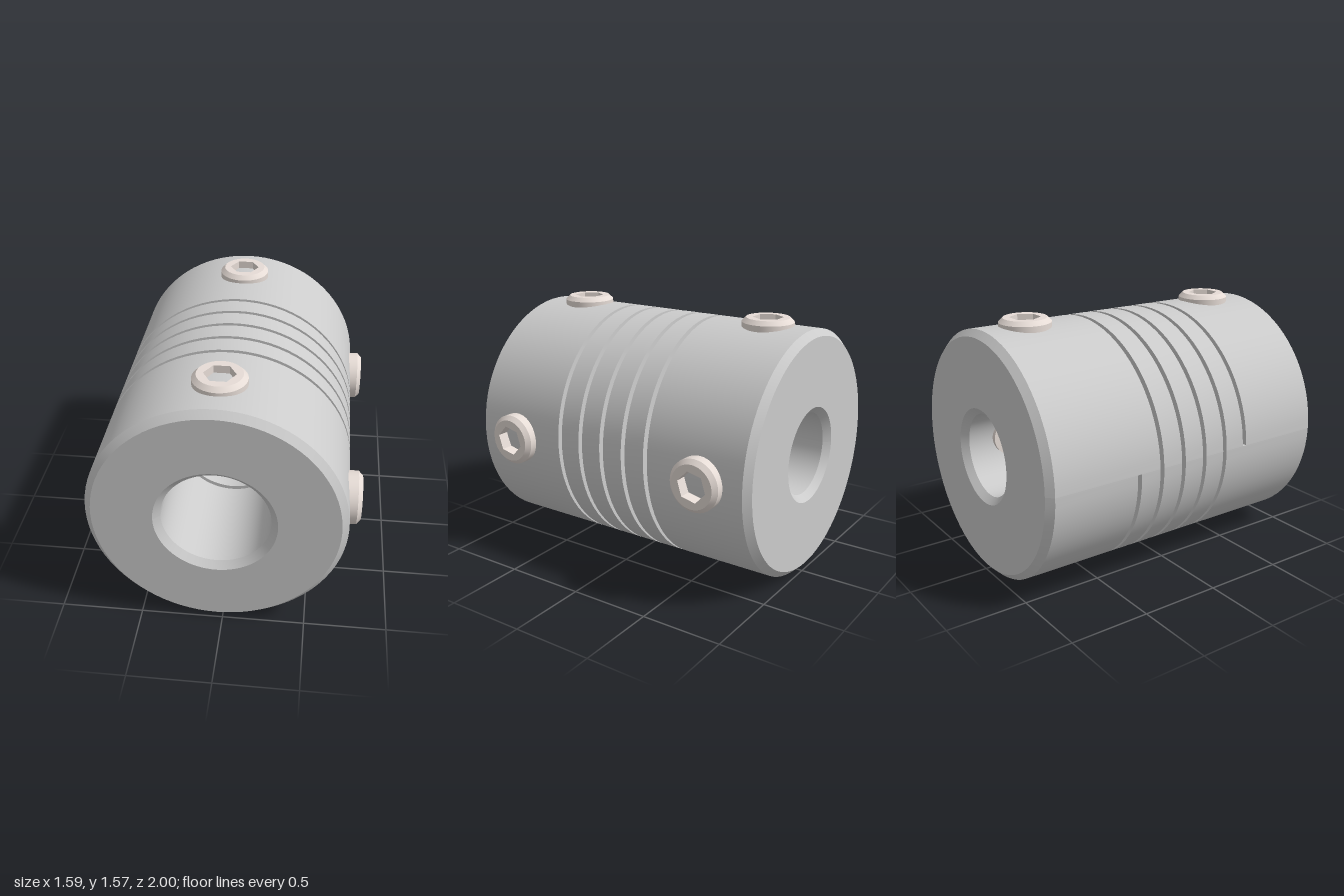
import * as THREE from 'three';
import { toCreasedNormals } from 'three/addons/utils/BufferGeometryUtils.js';

const R = 0.76, BEVEL = 0.04;              // outer radius, edge chamfer
const BORE_FRONT = 0.32, BORE_BACK = 0.255;
const TURNS = 5, PITCH = 0.16, SLOT = 0.028;
const SLOT_Z = TURNS * PITCH / 2;          // slot runs from +SLOT_Z to -SLOT_Z
const SEG = 80;

const metal = new THREE.MeshStandardMaterial({ color: 0xcccccc });
const steel = new THREE.MeshStandardMaterial({ color: 0xe6dcd6 });
const steelFlat = new THREE.MeshStandardMaterial({ color: 0xe6dcd6, flatShading: true, side: THREE.BackSide });

function mesh(name, geometry, material) {
  const m = new THREE.Mesh(geometry, material);
  m.name = name;
  return m;
}

const bore = z => (z >= 0 ? BORE_FRONT : BORE_BACK);

// Closed (radius, z) section of coil number j after a fraction t of a turn
function coilSection(j, t) {
  const slotZ = k => SLOT_Z - PITCH * (k + t);
  const first = j === 0, last = j === TURNS;
  const zA = first ? 1 - BEVEL : slotZ(j - 1) - SLOT / 2;
  const zB = last ? -1 + BEVEL : slotZ(j) + SLOT / 2;
  const step = Math.min(Math.max(0, zB), zA);   // bore changes size at z = 0
  return [
    ...(first ? [[BORE_FRONT + BEVEL, 1], [R - BEVEL, 1]] : []),
    [R, zA], [R, zB],
    ...(last ? [[R - BEVEL, -1], [BORE_BACK + BEVEL, -1]] : []),
    [bore(zB), zB], [bore(zB), step], [bore(zA), step], [bore(zA), zA],
  ];
}

// Sweep a section once round the axis; each side is its own strip, so edges stay sharp
function coilGeometry(j) {
  const position = [], index = [];
  const sides = coilSection(j, 0).length;
  for (let s = 0; s < sides; s++) {
    const base = position.length / 3;
    for (let i = 0; i <= SEG; i++) {
      const t = i / SEG, a = t * Math.PI * 2;
      const section = coilSection(j, t);
      for (const [r, z] of [section[s], section[(s + 1) % sides]]) {
        position.push(-r * Math.cos(a), r * Math.sin(a), z);
      }
      if (i < SEG) {
        const n = base + i * 2;
        index.push(n, n + 2, n + 1, n + 1, n + 2, n + 3);
      }
    }
  }
  const g = new THREE.BufferGeometry();
  g.setAttribute('position', new THREE.Float32BufferAttribute(position, 3));
  g.setIndex(index);
  g.computeVertexNormals();
  return g;
}

// Wall closing one end of the helical slot
function slotEnd(z, inner, facing) {
  const g = new THREE.PlaneGeometry(R - inner, SLOT);
  g.rotateX(-facing * Math.PI / 2);
  g.translate(-(R + inner) / 2, 0, z);
  return mesh('slotEnd', g, metal);
}

// Clamping screw pointing along +y from the axis, with a hexagon socket
function makeScrew(name, boreRadius, top) {
  const screw = new THREE.Group();
  screw.name = name;
  const shank = 0.12, head = 0.158, rim = 0.132, hex = 0.093, depth = 0.09;
  const tip = Math.sqrt(boreRadius ** 2 - shank ** 2);
  const profile = [[0, tip], [shank, tip], [shank, 0.69], [head, 0.69], [head, top - 0.026], [rim, top]]
    .map(p => new THREE.Vector2(...p));
  screw.add(mesh('screwBody', toCreasedNormals(new THREE.LatheGeometry(profile, 40), 0.6), steel));

  const face = new THREE.Shape().absarc(0, 0, rim, 0, Math.PI * 2);
  const corners = [];
  for (let i = 0; i < 6; i++) {
    const a = i * Math.PI / 3;
    corners.push(new THREE.Vector2(hex * Math.cos(a), hex * Math.sin(a)));
  }
  face.holes.push(new THREE.Path(corners));
  const faceMesh = mesh('screwFace', new THREE.ShapeGeometry(face, 20), steel);
  faceMesh.rotation.x = -Math.PI / 2;
  faceMesh.position.y = top;

  const wall = mesh('socketWall', new THREE.CylinderGeometry(hex, hex, depth, 6, 1, true), steelFlat);
  wall.rotation.y = Math.PI / 6;
  wall.position.y = top - depth / 2;
  const floor = mesh('socketFloor', new THREE.CircleGeometry(hex, 6), steel);
  floor.rotation.x = -Math.PI / 2;
  floor.position.y = top - depth;
  screw.add(faceMesh, wall, floor);
  return screw;
}

export function createModel() {
  const model = new THREE.Group();
  model.name = 'shaftCoupling';

  // Body: two hubs joined by helical coils
  const body = new THREE.Group();
  body.name = 'slottedBody';
  for (let j = 0; j <= TURNS; j++) {
    const name = j === 0 ? 'frontHub' : j === TURNS ? 'backHub' : 'coil';
    body.add(mesh(name, coilGeometry(j), metal));
  }
  body.add(slotEnd(SLOT_Z, BORE_FRONT, 1), slotEnd(-SLOT_Z, BORE_BACK, -1));
  model.add(body);

  // A top and a side screw on each hub
  for (const z of [0.68, -0.68]) {
    const hub = z > 0 ? 'front' : 'back';
    const topScrew = makeScrew(hub + 'TopScrew', bore(z), 0.806);
    topScrew.position.z = z;
    const sideScrew = makeScrew(hub + 'SideScrew', bore(z), 0.83);
    sideScrew.position.z = z;
    sideScrew.rotation.set(0, 0.3, -Math.PI / 2, 'ZYX');
    model.add(topScrew, sideScrew);
  }

  model.position.set(-0.035, R, 0);
  const root = new THREE.Group();
  root.name = 'coupling';
  root.add(model);
  return root;
}
